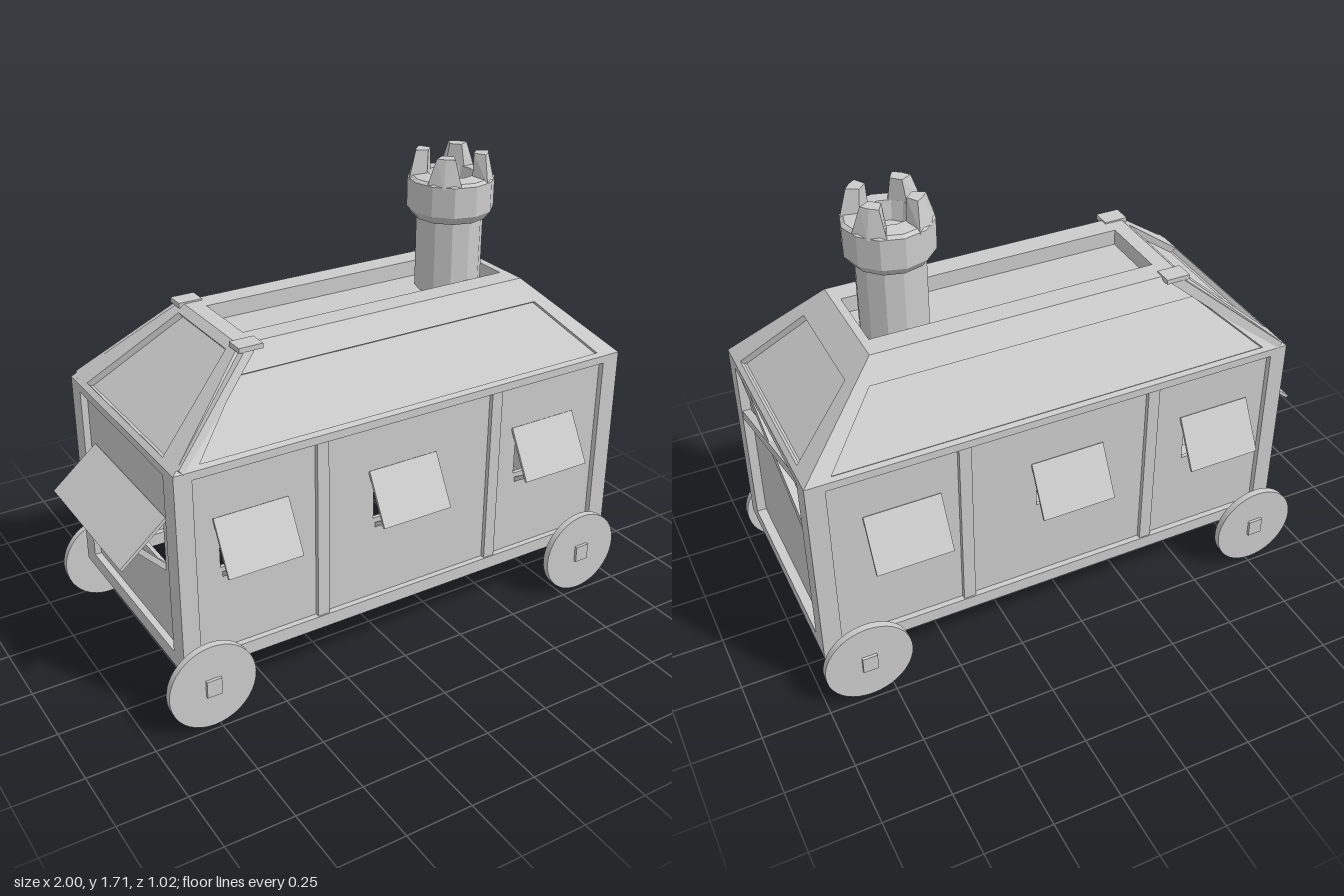
import * as THREE from 'three';
import { toCreasedNormals } from 'three/addons/utils/BufferGeometryUtils.js';
import { ConvexGeometry } from 'three/addons/geometries/ConvexGeometry.js';

const mat = new THREE.MeshStandardMaterial({ color: 0xcccccc, flatShading: true, side: THREE.DoubleSide });
const smooth = new THREE.MeshStandardMaterial({ color: 0xcccccc, side: THREE.DoubleSide });
const V = (x, y, z) => new THREE.Vector3(x, y, z);

export function createModel() {
  const root = new THREE.Group();
  root.name = 'siegeWagon';

  const add = (name, geo, material = mat, parent = root) => {
    const m = new THREE.Mesh(geo, material);
    m.name = name;
    parent.add(m);
    return m;
  };
  // Box given by its minimum and maximum on each axis
  const box = (name, x0, x1, y0, y1, z0, z1) => {
    const m = add(name, new THREE.BoxGeometry(x1 - x0, y1 - y0, z1 - z0));
    m.position.set((x0 + x1) / 2, (y0 + y1) / 2, (z0 + z1) / 2);
    return m;
  };
  // Bar of w by h section between two points; side is the direction of w
  const bar = (name, a, b, w, h, side) => {
    const m = add(name, new THREE.BoxGeometry(w, h, a.distanceTo(b)));
    const d = b.clone().sub(a).normalize();
    const up = d.clone().cross(side).normalize();
    const s = up.clone().cross(d);
    m.quaternion.setFromRotationMatrix(new THREE.Matrix4().makeBasis(s, up, d));
    m.position.copy(a).add(b).multiplyScalar(0.5);
    return m;
  };
  // Wall panel in the XY plane with rectangular window holes
  const wall = (name, x0, x1, y0, y1, holes, depth) => {
    const rect = (P, [a, b, c, d]) => {
      const p = new P();
      p.moveTo(a, c); p.lineTo(b, c); p.lineTo(b, d); p.lineTo(a, d); p.closePath();
      return p;
    };
    const s = rect(THREE.Shape, [x0, x1, y0, y1]);
    s.holes = holes.map(h => rect(THREE.Path, h));
    return add(name, new THREE.ExtrudeGeometry(s, { depth, bevelEnabled: false }));
  };
  const quads = (name, list) => {
    const pos = [];
    for (const [a, b, c, d] of list) for (const p of [a, b, c, a, c, d]) pos.push(p.x, p.y, p.z);
    const g = new THREE.BufferGeometry();
    g.setAttribute('position', new THREE.Float32BufferAttribute(pos, 3));
    g.computeVertexNormals();
    return add(name, g);
  };
  // Four-cornered face with a recessed field; corners run anticlockwise seen from outside
  const framedFace = (name, c, u, v0, v1, depth) => {
    const n = c[1].clone().sub(c[0]).cross(c[3].clone().sub(c[0])).normalize();
    const at = (s, t) => c[0].clone().lerp(c[1], s).lerp(c[3].clone().lerp(c[2], s), t);
    const rim = [at(u, v0), at(1 - u, v0), at(1 - u, v1), at(u, v1)];
    const low = rim.map(p => p.clone().addScaledVector(n, -depth));
    const list = [low];
    for (let i = 0; i < 4; i++) {
      const j = (i + 1) % 4;
      list.push([c[i], c[j], rim[j], rim[i]], [rim[i], rim[j], low[j], low[i]]);
    }
    return quads(name, list);
  };

  // Timber frame and long walls
  const windows = [-0.71, -0.11, 0.51];
  for (const s of [1, -1]) {
    const sided = (name, x0, x1, y0, y1, zi, zo) =>
      box(name, x0, x1, y0, y1, Math.min(s * zi, s * zo), Math.max(s * zi, s * zo));
    sided('sideSill', -0.85, 0.98, 0.2, 0.25, 0.37, 0.43);
    sided('sideTopRail', -0.85, 0.98, 0.94, 0.97, 0.37, 0.43);
    for (const [a, b] of [[-0.85, -0.785], [0.91, 0.98]]) sided('cornerPost', a, b, 0.25, 0.94, 0.35, 0.43);
    for (const [a, b] of [[-0.325, -0.28], [0.4, 0.445]]) sided('wallPost', a, b, 0.25, 0.94, 0.37, 0.425);
    const w = wall('sideWall', -0.8, 0.93, 0.24, 0.95, windows.map(x => [x + 0.02, x + 0.26, 0.57, 0.75]), 0.015);
    w.position.z = s > 0 ? 0.393 : -0.408;
    // Propped shutters
    for (const x of windows) {
      bar('shutter', V(x + 0.14, 0.765, s * 0.408), V(x + 0.14, 0.585, s * 0.508), 0.28, 0.01, V(1, 0, 0));
      bar('shutterProp', V(x + 0.035, 0.6, s * 0.493), V(x + 0.035, 0.54, s * 0.405), 0.016, 0.016, V(1, 0, 0));
    }
  }

  // End walls with their rails
  for (const [x0, x1] of [[-0.85, -0.79], [0.92, 0.98]]) {
    box('endSill', x0, x1, 0.2, 0.255, -0.37, 0.37);
    box('endTopRail', x0, x1, 0.94, 0.97, -0.37, 0.37);
  }
  box('frontEndWall', 0.93, 0.945, 0.24, 0.95, -0.36, 0.36);
  const rear = wall('rearEndWall', -0.36, 0.36, 0.24, 0.95, [[-0.27, 0.27, 0.54, 0.72]], 0.015);
  rear.rotation.y = -Math.PI / 2;
  rear.position.x = -0.81;
  for (const s of [1, -1])
    bar('crossBrace', V(0.96 + s * 0.002, 0.725, s * 0.355), V(0.96 + s * 0.002, 0.945, -s * 0.355), 0.03, 0.034, V(1, 0, 0));

  // Large rear shutter on two props
  bar('rearShutter', V(-0.825, 0.745, 0), V(-0.996, 0.6, 0), 0.6, 0.012, V(0, 0, 1));
  for (const s of [1, -1])
    bar('rearShutterProp', V(-0.93, 0.65, s * 0.26), V(-0.82, 0.535, s * 0.26), 0.02, 0.02, V(0, 0, 1));

  // Hipped roof with recessed fields
  const B = [V(-0.85, 0.97, 0.43), V(0.98, 0.97, 0.43), V(0.98, 0.97, -0.43), V(-0.85, 0.97, -0.43)];
  const T = [V(-0.5, 1.26, 0.22), V(0.66, 1.26, 0.22), V(0.66, 1.26, -0.22), V(-0.5, 1.26, -0.22)];
  for (let i = 0; i < 4; i++) {
    const j = (i + 1) % 4;
    const end = i % 2 === 1;
    framedFace(end ? 'roofEnd' : 'roofSide', [B[i], B[j], T[j], T[i]], end ? 0.12 : 0.045, 0.05,
      i === 3 ? 0.92 : 0.73, end ? 0.025 : 0.012);
  }
  // Sunken roof deck with a flat rim
  const ring = (y, x0, x1, z) => [V(x0, y, z), V(x1, y, z), V(x1, y, -z), V(x0, y, -z)];
  const rim = ring(1.26, -0.44, 0.63, 0.135);
  const deck = ring(1.2, -0.44, 0.63, 0.135);
  const top = [deck];
  for (let i = 0; i < 4; i++) {
    const j = (i + 1) % 4;
    top.push([T[i], T[j], rim[j], rim[i]], [rim[i], rim[j], deck[j], deck[i]]);
  }
  quads('roofDeck', top);
  // Raised hip bars and caps at the rear
  for (const s of [1, -1]) {
    bar('hipBar', V(-0.825, 0.968, s * 0.41), V(-0.475, 1.245, s * 0.225), 0.045, 0.035, V(0, 0, 1));
    box('hipCap', -0.52, -0.43, 1.248, 1.266, s * 0.225 - 0.035, s * 0.225 + 0.035);
  }

  // Undercarriage
  box('spineBeam', -0.8, 0.86, 0.13, 0.2, -0.035, 0.035);
  const disc = toCreasedNormals(new THREE.CylinderGeometry(0.163, 0.163, 0.026, 40).rotateX(Math.PI / 2), 0.6);
  for (const x of [-0.77, 0.835]) {
    box('axle', x - 0.028, x + 0.028, 0.13, 0.195, -0.492, 0.492);
    for (const s of [1, -1]) add('wheel', disc, smooth).position.set(x, 0.163, s * 0.468);
  }

  // Chimney tower: shaft, flared head and four inward-tapering merlons
  const tower = new THREE.Group();
  tower.name = 'tower';
  tower.position.x = 0.49;
  root.add(tower);
  const profile = [[0, 1.2], [0.122, 1.2], [0.122, 1.475], [0.135, 1.475], [0.158, 1.505], [0.158, 1.615],
    [0.145, 1.625], [0.085, 1.63], [0.075, 1.56], [0, 1.56]].map(p => new THREE.Vector2(...p));
  add('towerShaft', new THREE.LatheGeometry(profile, 12), mat, tower);
  for (let k = 0; k < 4; k++) {
    const mid = Math.PI / 4 + k * Math.PI / 2;
    const pts = [];
    for (const [y, r0, r1, a] of [[1.61, 0.09, 0.155, 0.42], [1.65, 0.088, 0.135, 0.28], [1.71, 0.085, 0.13, 0.26]])
      for (const r of [r0, r1]) for (const t of [-a, 0, a])
        pts.push(V(r * Math.cos(mid + t), y, r * Math.sin(mid + t)));
    add('merlon', new ConvexGeometry(pts), mat, tower);
  }
  return root;
}
